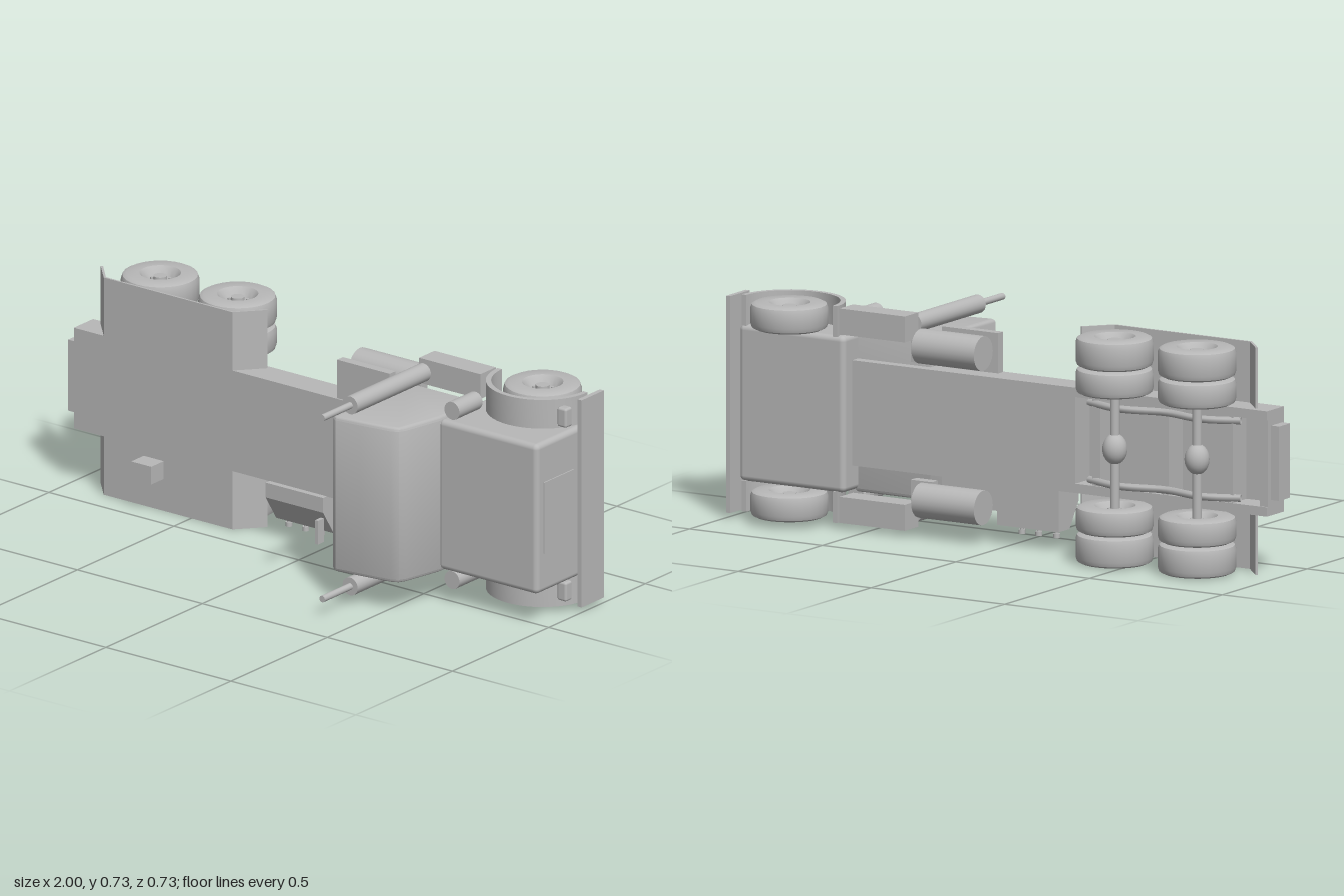
import * as THREE from 'three';
import { toCreasedNormals } from 'three/addons/utils/BufferGeometryUtils.js';
import { RoundedBoxGeometry } from 'three/addons/geometries/RoundedBoxGeometry.js';

// The truck lies on its side: nose along +x, roof along +z, axles along y.
const MID = 0.369;

export function createModel() {
  const group = new THREE.Group();
  const grey = new THREE.MeshStandardMaterial({ color: 0xb8b8b8 });
  grey.name = 'grey';
  grey.side = THREE.DoubleSide;

  const add = (name, geo, x = 0, y = MID, z = 0) => {
    const m = new THREE.Mesh(geo, grey);
    m.name = name;
    m.position.set(x, y, z);
    group.add(m);
    return m;
  };
  // Box given by its limits; r rounds the edges
  const box = (name, x0, x1, y0, y1, z0, z1, r = 0) => {
    const s = [x1 - x0, Math.abs(y1 - y0), z1 - z0];
    const geo = r ? new RoundedBoxGeometry(...s, 3, r) : new THREE.BoxGeometry(...s);
    return add(name, geo, (x0 + x1) / 2, (y0 + y1) / 2, (z0 + z1) / 2);
  };
  // Centred box, w = half width
  const wide = (name, x0, x1, w, z0, z1, r) => box(name, x0, x1, MID - w, MID + w, z0, z1, r);
  // Side profile in x,z extruded across the truck
  const profile = (name, pts, width, y = MID, bevel = 0) => {
    const shape = new THREE.Shape(pts.map(p => new THREE.Vector2(...p)));
    const depth = width - 2 * bevel;
    const geo = new THREE.ExtrudeGeometry(shape, {
      depth, bevelEnabled: bevel > 0, bevelSize: bevel, bevelThickness: bevel, bevelOffset: -bevel, bevelSegments: 3,
    });
    geo.translate(0, 0, -depth / 2).rotateX(Math.PI / 2);
    return add(name, toCreasedNormals(geo, 0.6), 0, y, 0);
  };
  const cyl = (name, r, len, axis, x, y, z) => {
    const geo = new THREE.CylinderGeometry(r, r, len, 24);
    if (axis === 'x') geo.rotateZ(Math.PI / 2);
    if (axis === 'z') geo.rotateX(Math.PI / 2);
    return add(name, geo, x, y, z);
  };

  // Wheel with recessed rim, hub and nuts on both faces
  const wheel = (name, x, y, w) => {
    const h = w / 2;
    const half = [[0.045, h - 0.03], [0.06, h - 0.006], [0.066, h], [0.108, h], [0.12, h - 0.006], [0.125, h - 0.02]];
    const pts = [
      [0, -h + 0.03], ...half.map(([r, t]) => [r, -t]),
      ...half.slice().reverse(), [0, h - 0.03],
    ].map(p => new THREE.Vector2(...p));
    add(name, toCreasedNormals(new THREE.LatheGeometry(pts, 28), 0.5), x, y, -0.24);
    cyl(name + 'Hub', 0.022, w - 0.02, 'y', x, y, -0.24);
    for (let i = 0; i < 6; i++) {
      const a = i * Math.PI / 3;
      cyl('wheelNut', 0.005, w - 0.045, 'y', x + 0.034 * Math.cos(a), y, -0.24 + 0.034 * Math.sin(a));
    }
  };

  // Chassis: closed front part, open ladder at the rear under a deck
  wide('frontFrame', -0.25, 0.6, 0.17, -0.19, -0.09);
  wide('rearDeck', -0.97, -0.25, 0.17, -0.105, -0.09);
  for (const x of [-0.97, -0.84, -0.6, -0.34]) wide('crossMember', x, x + 0.03, 0.17, -0.185, -0.1);
  wide('towPlate', -1, -0.97, 0.12, -0.165, -0.1);

  // Cab
  profile('cab', [
    [0.315, -0.155], [0.595, -0.155], [0.595, 0.04], [0.565, 0.175], [0.553, 0.198], [0.53, 0.21],
    [0.42, 0.226], [0.33, 0.238], [0.315, 0.23],
  ], 0.524, MID, 0.012);
  wide('cabMount', 0.29, 0.34, 0.17, -0.19, -0.1);

  // Hood, grille and bumper
  wide('hood', 0.585, 0.982, 0.253, -0.24, 0.038, 0.018);
  wide('grille', 0.98, 0.986, 0.12, -0.15, 0.005);
  wide('bumper', 0.984, 1, 0.35, -0.285, -0.17);

  // Half-ring outline for the front fenders
  const arch = [];
  for (let i = 0; i <= 24; i++) arch.push([0.18, i / 24 * Math.PI]);
  for (let i = 24; i >= 0; i--) arch.push([0.163, i / 24 * Math.PI]);
  const archPts = arch.map(([r, a]) => [0.79 + r * Math.cos(a), -0.24 + r * Math.sin(a)]);

  for (const s of [1, -1]) {
    const at = d => MID + s * d;
    const side = (name, x0, x1, d0, d1, z0, z1, r) => box(name, x0, x1, at(d0), at(d1), z0, z1, r);

    side('frameRail', -0.97, -0.25, 0.14, 0.17, -0.19, -0.09);

    // Wheels
    wheel('frontWheel', 0.79, at(0.303), 0.085);
    for (const x of [-0.74, -0.43]) {
      wheel('rearOuterWheel', x, at(0.317), 0.096);
      wheel('rearInnerWheel', x, at(0.223), 0.084);
    }

    // Rear mudguard sheet with sloped ends
    profile('rearMudguard', [
      [-0.92, -0.165], [-0.85, -0.09], [-0.335, -0.09], [-0.26, -0.175],
      [-0.266, -0.178], [-0.338, -0.097], [-0.847, -0.097], [-0.914, -0.17],
    ], 0.197, at(0.2685));

    // Leaf spring arched over the two rear axles
    const spring = new THREE.CatmullRomCurve3([
      [-0.86, -0.17], [-0.74, -0.215], [-0.585, -0.185], [-0.43, -0.215], [-0.29, -0.17],
    ].map(([x, z]) => new THREE.Vector3(x, 0, z)));
    add('leafSpring', new THREE.TubeGeometry(spring, 24, 0.012, 6), 0, at(0.125), 0);

    // Front fender, headlight, air cleaner
    profile('frontFender', archPts, 0.1, at(0.3));
    side('headlight', 0.935, 0.972, 0.261, 0.326, -0.16, -0.125, 0.008);
    cyl('airCleaner', 0.03, 0.12, 'z', 0.628, at(0.286), -0.04);

    // Exhaust stack, step box, fuel tank and tank cover
    cyl('exhaustStack', 0.03, 0.38, 'z', 0.375, at(0.306), 0.03);
    cyl('exhaustPipe', 0.011, 0.16, 'z', 0.375, at(0.306), 0.285);
    side('stepBox', 0.35, 0.595, 0.262, 0.346, -0.25, -0.17);
    cyl('fuelTank', 0.056, 0.235, 'x', 0.197, at(0.249), -0.213);
    side('tankCover', 0.08, 0.29, 0.17, s > 0 ? 0.3 : 0.274, -0.125, -0.095);
    side('tankBracket', 0.28, 0.36, 0.19, 0.26, -0.2, -0.165);
  }

  // Rear axles with differentials
  for (const x of [-0.74, -0.43]) {
    cyl('rearAxle', 0.015, 0.54, 'y', x, MID, -0.24);
    add('differential', new THREE.SphereGeometry(0.04, 20, 14), x, MID, -0.24).scale.y = 1.25;
  }

  // Equipment on the right side only
  box('rearTopBox', -0.69, -0.61, 0.11, 0.17, -0.095, -0.025);
  box('frontTopBox', 0.178, 0.226, 0.1, 0.175, -0.1, -0.025);
  const cabinet = new THREE.Shape([[0.2, -0.19], [0.2, -0.07], [0.15, -0.07], [0.065, -0.125], [0.065, -0.19]]
    .map(([y, z]) => new THREE.Vector2(y, z)));
  const cabinetGeo = new THREE.ExtrudeGeometry(cabinet, { depth: 0.23, bevelEnabled: false });
  // Turn the y,z outline so that it extrudes along x
  cabinetGeo.applyMatrix4(new THREE.Matrix4().set(0, 0, 1, 0, 1, 0, 0, 0, 0, 1, 0, 0, 0, 0, 0, 1));
  add('sideCabinet', cabinetGeo, -0.187, 0, 0);
  for (const x of [-0.155, -0.088, -0.025]) {
    cyl('valveStem', 0.006, 0.03, 'y', x, 0.057, -0.15);
    cyl('valveCap', 0.011, 0.014, 'y', x, 0.045, -0.15);
  }
  box('cabinetLatch', 0.03, 0.042, 0.05, 0.13, -0.075, -0.045);

  return group;
}
